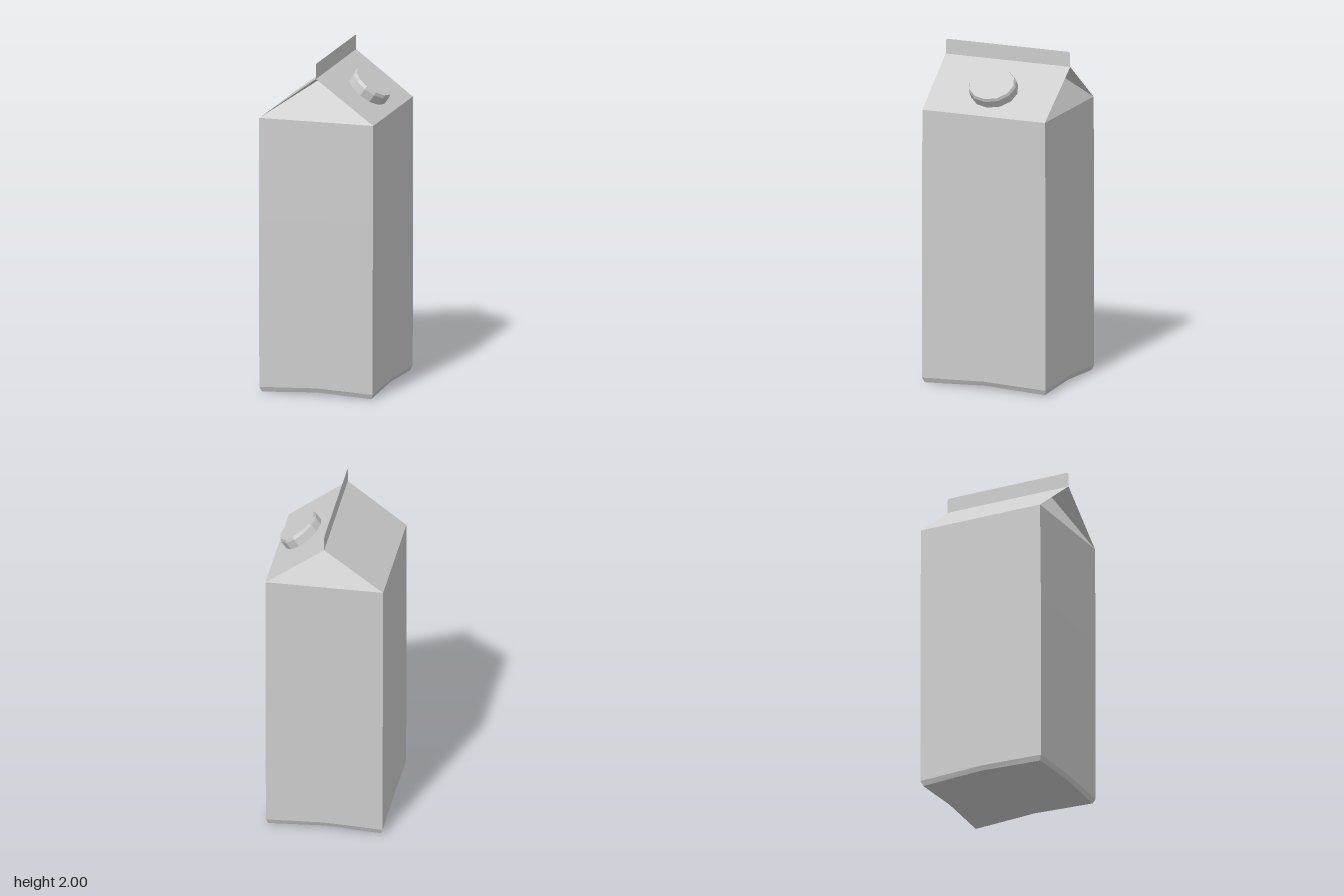
import * as THREE from 'three';

const material = (side = THREE.FrontSide) =>
  new THREE.MeshStandardMaterial({ color: 0xcccccc, flatShading: true, side });

// Flat-faced geometry from convex polygons, corners counter-clockwise from outside
function polygons(faces) {
  const pos = [];
  for (const f of faces)
    for (let i = 1; i < f.length - 1; i++) pos.push(...f[0], ...f[i], ...f[i + 1]);
  const geo = new THREE.BufferGeometry();
  geo.setAttribute('position', new THREE.Float32BufferAttribute(pos, 3));
  geo.computeVertexNormals();
  return geo;
}

// Rectangular ring with a point at each corner and at the middle of each side
function ring(yCorner, yMid, x, z) {
  const dirs = [[-1, 1], [0, 1], [1, 1], [1, 0], [1, -1], [0, -1], [-1, -1], [-1, 0]];
  return dirs.map(([sx, sz]) => [sx * x, sx && sz ? yCorner : yMid, sz * z]);
}

export function createModel() {
  const group = new THREE.Group();
  const add = (name, geometry, side) => {
    const mesh = new THREE.Mesh(geometry, material(side));
    mesh.name = name;
    group.add(mesh);
    return mesh;
  };

  const X = 0.35, Z = 0.393, eave = 1.65, ridge = 1.91, ridgeZ = 0.4;

  // Carton walls with a chamfered, arched lower edge
  const rings = [
    ring(0, 0.018, 0.335, 0.386),
    ring(0.03, 0.045, 0.348, 0.398),
    ring(1.05, 1.05, 0.349, 0.398),
    ring(eave, eave, X, Z),
  ];
  const walls = [];
  for (let r = 0; r < rings.length - 1; r++)
    for (let i = 0; i < 8; i++) {
      const j = (i + 1) % 8;
      walls.push([rings[r][i], rings[r][j], rings[r + 1][j], rings[r + 1][i]]);
    }
  add('walls', polygons(walls));

  // Base, raised a little in the middle
  add('base', polygons(rings[0].map((p, i) => [[0, 0.025, 0], rings[0][(i + 1) % 8], p])));

  // Two sloping roof panels
  const roof = [1, -1].map((s) => [
    [s * X, eave, s * Z], [s * X, eave, -s * Z], [0, ridge, -s * ridgeZ], [0, ridge, s * ridgeZ],
  ]);
  add('roofPanels', polygons(roof), THREE.DoubleSide);

  // Gable ends folded inward beneath the roof
  const gables = [];
  for (const s of [1, -1]) {
    const left = [-s * X, eave, s * Z], right = [s * X, eave, s * Z];
    const apex = [0, ridge, s * ridgeZ], fold = [0, ridge - 0.02, s * 0.27];
    gables.push([left, right, fold], [left, fold, apex], [fold, right, apex]);
  }
  add('gableFolds', polygons(gables), THREE.DoubleSide);

  // Thin sealing fin along the ridge, with clipped upper corners
  const fin = new THREE.Shape();
  fin.moveTo(-0.4, ridge);
  fin.lineTo(0.4, ridge);
  fin.lineTo(0.4, 1.975);
  fin.quadraticCurveTo(0.4, 2, 0.385, 2);
  fin.lineTo(-0.385, 2);
  fin.quadraticCurveTo(-0.4, 2, -0.4, 1.975);
  const finGeo = new THREE.ShapeGeometry(fin, 3).rotateY(Math.PI / 2);
  add('ridgeFin', finGeo, THREE.DoubleSide);

  // Twelve-sided screw cap standing on the left roof panel
  const profile = [[0, -0.005], [0.128, -0.005], [0.128, 0.05], [0.121, 0.068], [0, 0.068]]
    .map(([x, y]) => new THREE.Vector2(x, y));
  const cap = add('cap', new THREE.LatheGeometry(profile, 12));
  cap.scale.z = 1.15;
  cap.rotation.z = -Math.atan2(ridge - eave, X);
  cap.position.set(0.193, 1.767, 0);

  return group;
}
